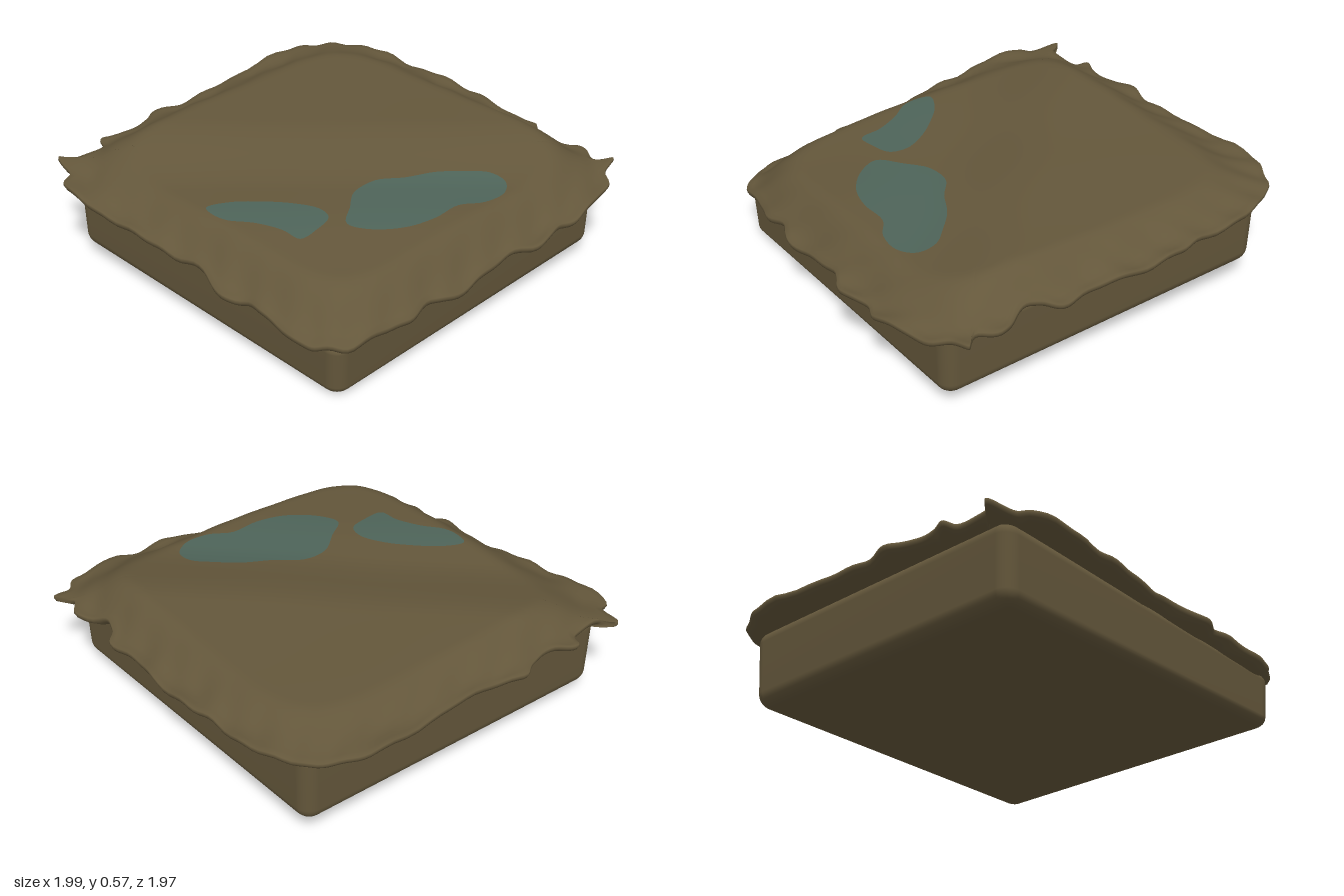
import * as THREE from 'three';
import { mergeVertices } from 'three/addons/utils/BufferGeometryUtils.js';
import { RoundedBoxGeometry } from 'three/addons/geometries/RoundedBoxGeometry.js';

const smooth = (a, b, v) => THREE.MathUtils.smoothstep(v, a, b);

// Ragged outline of the top layer, as x, z pairs
const RIM = [
  -0.65, -0.95, -0.4, -0.96, -0.23, -0.98, 0, -0.98, 0.18, -0.95, 0.35, -0.97, 0.42, -0.91, 0.52, -0.9,
  0.65, -0.96, 0.75, -0.91, 0.82, -0.97, 0.84, -0.88, 0.92, -0.8, 0.95, -0.65, 0.98, -0.5, 0.95, -0.4,
  0.99, -0.25, 0.93, -0.1, 0.94, 0.1, 0.95, 0.28, 0.91, 0.38, 0.92, 0.52, 0.89, 0.65, 0.86, 0.82,
  0.77, 0.9, 0.69, 0.93, 0.5, 0.93, 0.38, 0.92, 0.27, 0.97, 0.1, 0.92, -0.1, 0.94, -0.3, 0.96,
  -0.55, 0.98, -0.8, 0.96, -0.84, 0.89, -0.97, 0.86, -0.9, 0.8, -0.91, 0.65, -0.97, 0.6, -0.93, 0.5,
  -0.94, 0.36, -0.99, 0.28, -0.95, 0.1, -0.97, -0.2, -0.99, -0.6, -0.94, -0.75, -0.85, -0.86,
];
const LARGE_POOL = [
  0.5, -0.3, 0.58, -0.37, 0.67, -0.37, 0.73, -0.29, 0.72, -0.17, 0.66, -0.07, 0.66, 0.08, 0.62, 0.22,
  0.52, 0.34, 0.42, 0.38, 0.34, 0.28, 0.26, 0.17, 0.26, 0.04, 0.34, -0.07, 0.41, -0.2,
];
const SMALL_POOL = [
  -0.1, 0.72, -0.06, 0.62, 0.03, 0.52, 0.14, 0.43, 0.25, 0.38, 0.33, 0.4, 0.36, 0.5, 0.36, 0.6,
  0.26, 0.61, 0.14, 0.66, 0.04, 0.73, -0.05, 0.74,
];

// Height of the drooping edge, lowest at the front left corner
const edgeHeight = (x, z) => 0.405 - 0.08 * x - 0.06 * z - 0.03 * x * z;

// Height of the upper surface: raised plateau, a shallow hollow, falling to the edge
function topHeight(x, z) {
  const t = Math.pow(x ** 6 + z ** 6, 1 / 6) / 0.95;
  const plateau = 0.562 - 0.082 * smooth(-0.35, 0.4, x + z) - 0.04 * smooth(0.6, 1.5, x + z)
    + 0.004 * Math.sin(5 * x - 3 * z) * Math.cos(4 * z + x);
  const ruffle = 0.006 * Math.sin(17 * x + 13 * z) + 0.005 * Math.sin(31 * x - 27 * z);
  return THREE.MathUtils.lerp(plateau, edgeHeight(x, z) + ruffle, smooth(0.77, 1, t));
}

// Closed smooth curve through x, z pairs
function outline(pairs, perPoint) {
  const pts = [];
  for (let i = 0; i < pairs.length; i += 2) pts.push(new THREE.Vector3(pairs[i], 0, pairs[i + 1]));
  const curve = new THREE.CatmullRomCurve3(pts, true, 'centripetal');
  return curve.getPoints(pts.length * perPoint).slice(0, -1);
}

// Skin joining closed rings of equal length, from the centre outwards
function loft(rings) {
  const n = rings[0].length, index = [];
  for (let i = 0; i < rings.length - 1; i++) {
    for (let j = 0; j < n; j++) {
      const k = (j + 1) % n;
      const a = i * n + j, b = i * n + k, c = a + n, d = b + n;
      index.push(a, d, c, a, b, d);
    }
  }
  const geo = new THREE.BufferGeometry().setFromPoints(rings.flat());
  geo.setIndex(index);
  const merged = mergeVertices(geo, 1e-5);
  merged.computeVertexNormals();
  return merged;
}

// Rings that shrink an outline to its centre and rest on the upper surface
function drapedRings(points, steps, lift) {
  const centre = points.reduce((s, p) => s.add(p), new THREE.Vector3()).divideScalar(points.length);
  return Array.from({ length: steps + 1 }, (_, i) => points.map((p) => {
    const q = centre.clone().lerp(p, i / steps);
    q.y = topHeight(q.x, q.z) + lift;
    return q;
  }));
}

export function createModel() {
  const earth = new THREE.MeshStandardMaterial({ color: 0x64573b });
  earth.name = 'brown earth';
  const water = new THREE.MeshStandardMaterial({ color: 0x4e6459 });
  water.name = 'murky teal water';

  const model = new THREE.Group();
  model.name = 'groundTile';
  const add = (name, geo, mat) => {
    const mesh = new THREE.Mesh(geo, mat);
    mesh.name = name;
    model.add(mesh);
  };

  // Rounded block, sheared so that both ends follow the tilt
  const raw = new RoundedBoxGeometry(1.67, 0.4, 1.67, 5, 0.07);
  raw.deleteAttribute('uv');
  raw.deleteAttribute('normal');
  const block = mergeVertices(raw, 1e-4);
  const pos = block.attributes.position;
  for (let i = 0; i < pos.count; i++) {
    const f = pos.getY(i) / 0.4 + 0.5;
    const flare = 0.998 + 0.014 * f;
    const x = pos.getX(i) * flare - 0.005, z = pos.getZ(i) * flare + 0.017;
    const bottom = 0.053 - 0.034 * (x + z);
    pos.setXYZ(i, x, THREE.MathUtils.lerp(bottom, edgeHeight(x, z) - 0.01, f), z);
  }
  block.computeVertexNormals();
  add('baseBlock', block, earth);

  // Top layer with fine notches along a thick overhanging lip
  const rim = outline(RIM, 6);
  rim.forEach((p, j) => p.multiplyScalar(1 + 0.005 * Math.sin(j * 0.74) * Math.sin(j * 0.19)));
  const rings = drapedRings(rim, 40, 0);
  const last = rings[rings.length - 1];
  for (const [scale, drop] of [[1.002, 0.012], [0.995, 0.026], [0.96, 0.036], [0.9, 0.036], [0.8, 0.03]]) {
    rings.push(last.map((p) => {
      const y = scale > 0.95 ? p.y : edgeHeight(p.x, p.z);
      return new THREE.Vector3(p.x * scale, y - drop, p.z * scale);
    }));
  }
  add('topLayer', loft(rings), earth);

  // Thin pools lying on the top layer
  add('largePool', loft(drapedRings(outline(LARGE_POOL, 5), 14, 0.005)), water);
  add('smallPool', loft(drapedRings(outline(SMALL_POOL, 5), 14, 0.005)), water);
  return model;
}
